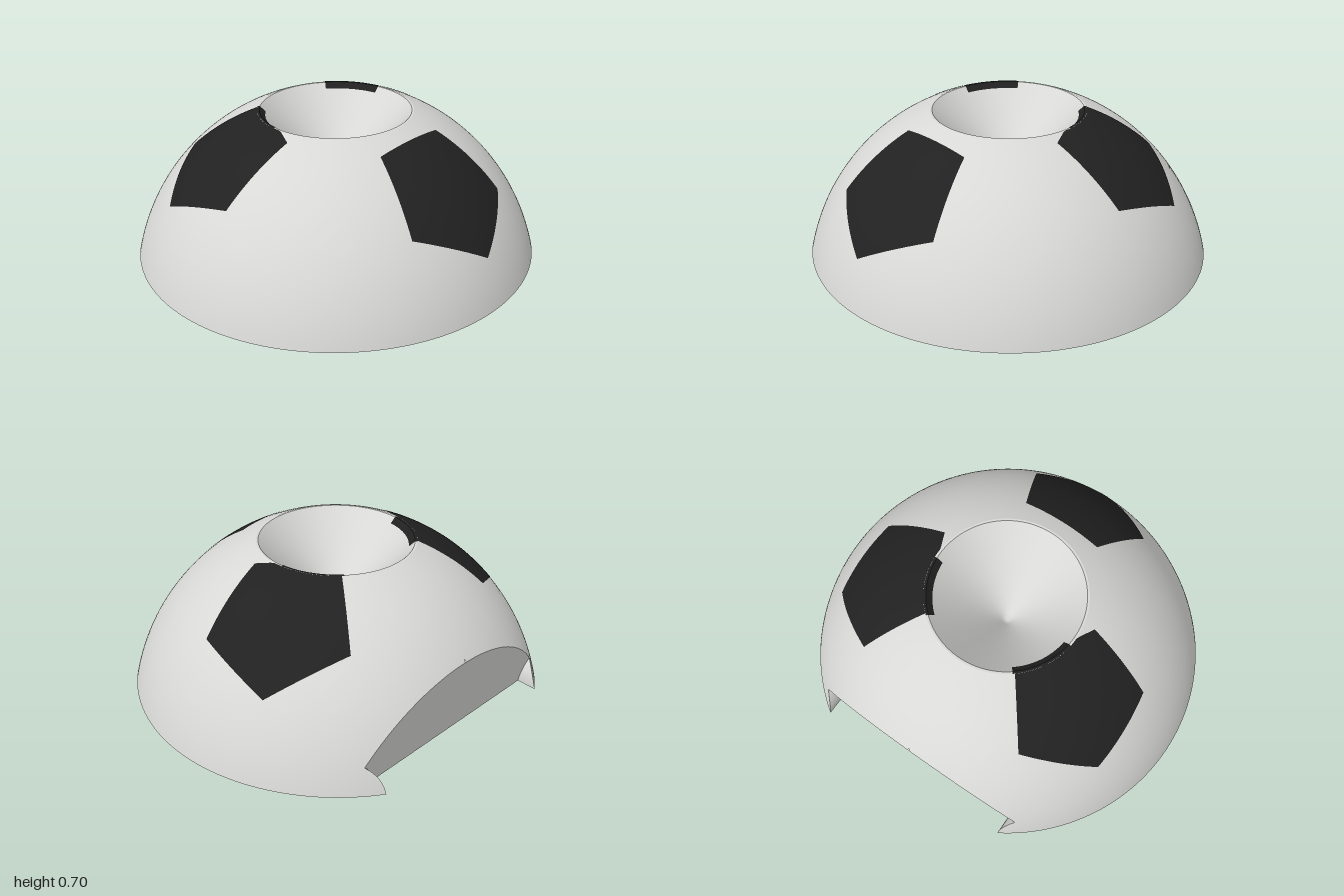
import * as THREE from 'three';
import { mergeGeometries, mergeVertices } from 'three/addons/utils/BufferGeometryUtils.js';

const Z0 = -0.08;          // z of the dome's axis
const CY = -0.261, R = 1.0336; // centre height and radius of the ball
const COLS = 144;
const V = (x, y, z) => new THREE.Vector3(x, y, z);
const rad = THREE.MathUtils.degToRad;

const ballR = y => Math.sqrt(R * R - (y - CY) ** 2);
const plateZ = y => -0.83 - 0.14 * y;     // sloping flat cut at the back
const innerZ = y => plateZ(y) + 0.06;     // inner side of that flat wall
const CUT_TOP = 0.38812, INNER_TOP = 0.31141, NOTCH = 0.12;
const wallX = y => 0.53 + 0.046 * (y / NOTCH) ** 2.5; // curved sides of the cut

// smooth sheet through rows of points
function sheet(rows) {
  const n = rows[0].length, index = [];
  for (let i = 0; i < rows.length - 1; i++) {
    for (let j = 0; j < n - 1; j++) {
      const a = i * n + j, b = a + n;
      index.push(a, b, a + 1, a + 1, b, b + 1);
    }
  }
  let g = new THREE.BufferGeometry().setFromPoints(rows.flat());
  g.setIndex(index);
  g = mergeVertices(g, 1e-5);
  g.computeVertexNormals();
  return g;
}

// half-width of a ring where a sloping plane cuts it
const chord = (r, z) => Math.sqrt(Math.max(0, r * r - (Z0 - z) ** 2));
const outerHalf = y => {
  const c = chord(ballR(y), plateZ(y));
  return y < NOTCH ? Math.min(c, wallX(y)) : c;
};

// arc around the axis, angles counted from the back
const arc = (r, y, from, to, n) => Array.from({ length: n + 1 }, (_, j) => {
  const a = from + (to - from) * j / n;
  return V(r * Math.sin(a), y, Z0 - r * Math.cos(a));
});

// ring around the axis, left open at the back by a half-width
function ring(r, y, half) {
  const c = r > 0 ? Math.asin(Math.min(1, half / r)) : 0;
  return arc(r, y, c, 2 * Math.PI - c, COLS);
}
const outerRing = y => ring(ballR(y), y, outerHalf(y));
const innerRing = ([r, y]) => ring(r, y, chord(r, innerZ(y)));

// heights from a to b, closer together near b when ease is 2
const steps = (a, b, n, ease = 1) =>
  Array.from({ length: n + 1 }, (_, i) => b - (b - a) * (1 - i / n) ** ease);

function mesh(name, geometries, material) {
  const m = new THREE.Mesh(mergeGeometries(geometries), material);
  m.name = name;
  return m;
}

// pentagon wrapped on the ball, stopping at the funnel's rim
function pentagon(turn) {
  const size = Math.tan(rad(19.6)), rows = [];
  const rim = ballR(0.7) / (0.7 - CY);
  const corner = k => {
    const a = -Math.PI / 2 + k * Math.PI * 2 / 5;
    return V(size * Math.cos(a), size * Math.sin(a), 0);
  };
  const X = V(1, 0, 0), Y = V(0, 1, 0);
  for (let i = 0; i <= 24; i++) {
    const row = [];
    for (let j = 0; j <= 100; j++) {
      const k = Math.floor(j / 20);
      const d = corner(k).lerp(corner(k + 1), (j % 20) / 20).multiplyScalar(i / 24);
      d.z = 1;
      d.applyAxisAngle(X, rad(-52.6)).applyAxisAngle(Y, turn).applyAxisAngle(X, rad(5.2));
      d.y = Math.min(d.y, Math.hypot(d.x, d.z) / rim);
      row.push(d.setLength(R + 0.002).add(V(0, CY, Z0)));
    }
    rows.push(row);
  }
  return sheet(rows);
}

// dark strip where a pentagon wraps over the rim into the funnel
const rimStrip = (from, to) => {
  const profile = [[ballR(0.7), 0.702], [0.369, 0.702], [0.342, 0.675]];
  return [0, 1].map(i => sheet(profile.slice(i, i + 2)
    .map(([r, y]) => arc(r, y, rad(from), rad(to), 24))));
};

export function createModel() {
  const white = new THREE.MeshStandardMaterial({ color: 0xd8d8d6 });
  white.name = 'light grey';
  const black = new THREE.MeshStandardMaterial({ color: 0x212121 });
  black.name = 'black';
  const group = new THREE.Group();
  group.name = 'halfBall';

  // outer dome
  const low = steps(0, NOTCH, 10), mid = steps(NOTCH, CUT_TOP, 24, 2);
  const heights = [...low, ...mid.slice(1), ...steps(CUT_TOP, 0.7, 24).slice(1)];
  group.add(mesh('dome', [sheet(heights.map(outerRing))], white));

  // funnel in the top, with its narrow flat rim
  group.add(mesh('funnel', [
    sheet([ring(ballR(0.7), 0.7, 0), ring(0.37, 0.7, 0)]),
    sheet(steps(0.37, 0, 12).map(r => ring(r, 0.33 + r, 0))),
  ], white));

  // underside of the funnel, hollow cone and stepped base rim
  const lowCone = steps(0.145, INNER_TOP, 20, 2).map(y => [1.045 - y, y]);
  const highCone = steps(INNER_TOP, 0.6425, 8).slice(1).map(y => [1.045 - y, y]);
  group.add(mesh('funnelUnderside',
    [sheet(steps(0, 0.4025, 12).map(r => ring(r, 0.24 + r, 0)))], white));
  group.add(mesh('hollow',
    [sheet([...lowCone, ...highCone].reverse().map(innerRing))], white));
  const lip = [[0.9, 0.145], [0.925, 0.04], [0.965, 0.04], [0.965, 0]];
  const lipParts = lip.slice(1).map((p, i) => sheet([innerRing(lip[i]), innerRing(p)]));
  lipParts.push(sheet([innerRing([0.965, 0]), outerRing(0)]));
  group.add(mesh('baseRim', lipParts, white));

  // flat wall at the back: outside, inside and bottom edge
  const face = (y, half, z) => [V(-half, y, z), V(half, y, z)];
  const outside = [...low, ...mid.slice(1)].map(y => face(y, outerHalf(y), plateZ(y)));
  const inside = [...lip.slice(1).reverse(), ...lowCone].map(([r, y]) =>
    face(y, chord(r, innerZ(y)), innerZ(y)).reverse());
  const w = wallX(0), tip = Z0 - Math.sqrt(ballR(0) ** 2 - w * w);
  const iw = chord(0.965, innerZ(0)), zi = innerZ(0), zo = plateZ(0);
  const bottom = [
    [V(w, 0, tip), V(w, 0, zo), V(-w, 0, zo), V(-w, 0, tip)],
    [V(iw, 0, zi), V(iw, 0, zi), V(-iw, 0, zi), V(-iw, 0, zi)],
  ];
  group.add(mesh('backWall', [sheet(outside), sheet(inside), sheet(bottom)], white));

  // small curved side cheeks of the cut
  const cheeks = [1, -1].map(s => sheet(low.map(y => {
    const x = outerHalf(y);
    const edge = [V(s * x, y, plateZ(y)), V(s * x, y, Z0 - Math.sqrt(ballR(y) ** 2 - x * x))];
    return s > 0 ? edge : edge.reverse();
  })));
  group.add(mesh('cutCheeks', cheeks, white));

  // three dark pentagons, the back two reaching over the rim
  group.add(mesh('frontPentagon', [pentagon(0)], black));
  group.add(mesh('leftPentagon', [pentagon(rad(118)), ...rimStrip(39, 84)], black));
  group.add(mesh('rightPentagon', [pentagon(rad(-118)), ...rimStrip(-84, -39)], black));

  return group;
}
